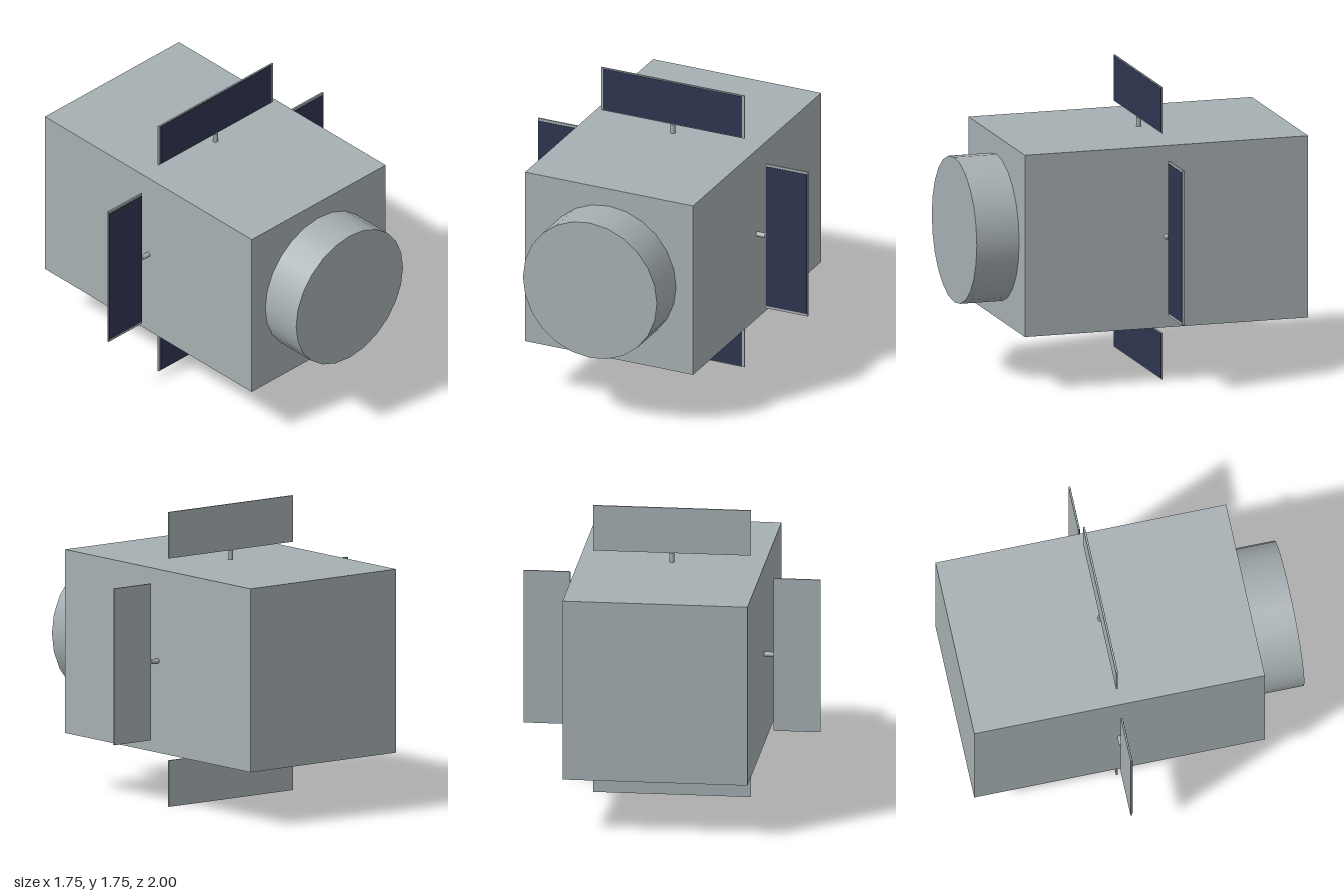
import * as THREE from 'three';

const CENTER_Y = 0.875, CENTER_Z = -0.13;
const HALF = 0.545, INNER = 0.6, OUTER = 0.875;

export function createModel() {
  const hull = new THREE.MeshStandardMaterial({ color: 0xa6afb2 });
  hull.name = 'hullGrey';
  const cells = new THREE.MeshStandardMaterial({ color: 0x2d3550 });
  cells.name = 'solarBlue';

  const model = new THREE.Group();
  model.name = 'satellite';

  const add = (parent, name, geometry, material, x, y, z) => {
    const mesh = new THREE.Mesh(geometry, material);
    mesh.name = name;
    mesh.position.set(x, y, z);
    parent.add(mesh);
    return mesh;
  };

  // Main body and front drum
  add(model, 'body', new THREE.BoxGeometry(HALF * 2, HALF * 2, 1.74), hull, 0, CENTER_Y, CENTER_Z);
  const drum = new THREE.CylinderGeometry(0.435, 0.435, 0.28, 24).rotateX(Math.PI / 2);
  add(model, 'frontDrum', drum, hull, 0, CENTER_Y, 0.86);

  // Four solar panels, each on a short strut, repeated around the body
  const mid = (INNER + OUTER) / 2;
  const strutGeometry = new THREE.CylinderGeometry(0.015, 0.015, INNER - HALF + 0.01, 12);
  const frameGeometry = new THREE.BoxGeometry(0.93, OUTER - INNER, 0.01);
  const cellGeometry = new THREE.BoxGeometry(0.9, OUTER - INNER - 0.01, 0.002);
  ['top', 'left', 'bottom', 'right'].forEach((side, i) => {
    const wing = new THREE.Group();
    wing.name = side + 'SolarPanel';
    wing.position.set(0, CENTER_Y, CENTER_Z);
    wing.rotation.z = -i * Math.PI / 2;
    add(wing, 'strut', strutGeometry, hull, 0, (HALF + INNER) / 2 - 0.005, 0);
    add(wing, 'panelFrame', frameGeometry, hull, 0, mid, 0);
    add(wing, 'solarCells', cellGeometry, cells, 0, mid, 0.006);
    model.add(wing);
  });

  return model;
}
